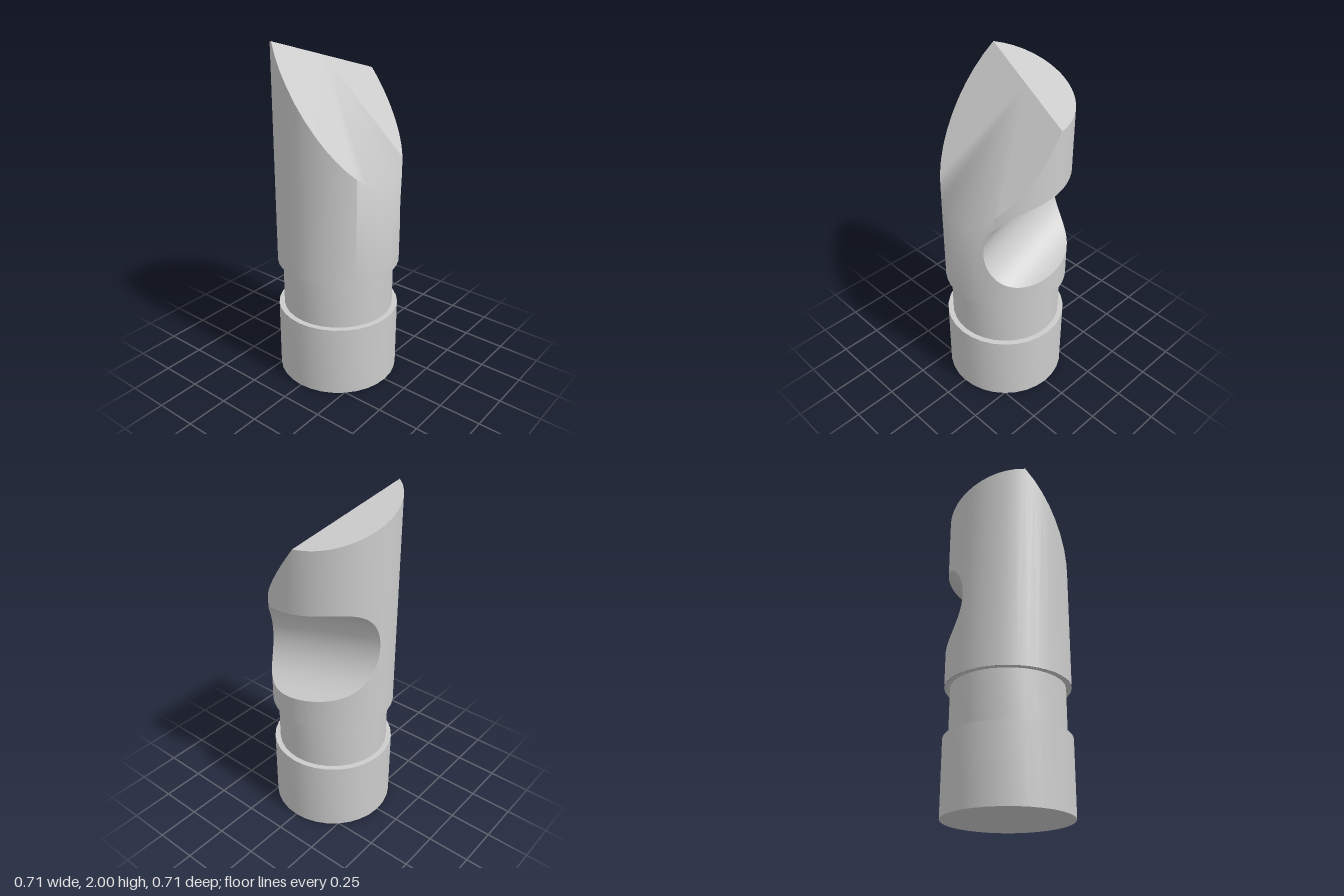
import * as THREE from 'three';
import { toCreasedNormals } from 'three/addons/utils/BufferGeometryUtils.js';

const R = 0.357, BASE = 0.725;              // barrel radius, underside of the head
const CREASE = 0.86;
// Side groove: slanted round channel, section centred on (GX, GY) at z = 0
const GX = 0.365, GY = 1.148, GR = 0.265, SX = 0.182, SY = -0.155;
const DELTA = Math.atan(SX);
const OMEGA = Math.acos((GX - GR) / (R * Math.hypot(1, SX)));

// Height of the two slanted top planes above a point
const topY = (x, z) => Math.min(1.9 - 0.336 * x, 1.73 - 1.35 * z);
const at = (t, y) => new THREE.Vector3(R * Math.cos(t), y, R * Math.sin(t));
const rimTop = (t) => at(t, topY(R * Math.cos(t), R * Math.sin(t)));

// Point of the groove rim at angle t; side is +1 (upper) or -1 (lower)
function rimGroove(t, side) {
  const x = R * Math.cos(t), z = R * Math.sin(t);
  const d = x - SX * z - GX;
  return at(t, GY + SY * z + side * Math.sqrt(Math.max(0, GR * GR - d * d)));
}

function createHead() {
  const pos = [];
  const tri = (a, b, c) => {
    const n = b.clone().sub(a).cross(c.clone().sub(a));
    if (n.length() > 1e-10) pos.push(...a, ...b, ...c);
  };
  const quad = (a, b, c, d) => { tri(a, b, c); tri(a, c, d); };

  // Angles where the ridge between the two top planes meets the barrel
  const m = 1.35, s = 0.336, k = -0.17 / m, q = s / m;
  const disc = Math.sqrt(k * k * q * q - (1 + q * q) * (k * k - R * R));
  const [ridgeA, ridgeB] = [1, -1].map((sg) => {
    const x = (-k * q + sg * disc) / (1 + q * q);
    return Math.atan2(k + q * x, x);
  });

  // Angular samples: half-widths across the groove, then round the rest
  const half = [Math.abs(ridgeA + DELTA)];
  for (let i = 0; i <= 24; i++) half.push(OMEGA * Math.sin((i / 24) * Math.PI / 2));
  half.sort((a, b) => a - b);
  const grooved = [...half.slice(1).reverse().map((w) => -DELTA - w), ...half.map((w) => -DELTA + w)];
  const start = OMEGA - DELTA, span = 2 * Math.PI - 2 * OMEGA;
  const plain = [ridgeB + 2 * Math.PI];
  for (let i = 0; i <= 24; i++) plain.push(start + span * i / 24);
  plain.sort((a, b) => a - b);

  const ridgeMid = rimTop(ridgeA).add(rimTop(ridgeB)).multiplyScalar(0.5);
  const wall = (list, low, high) => {
    for (let i = 0; i + 1 < list.length; i++) {
      const a = list[i], b = list[i + 1];
      quad(low(b), low(a), high(a), high(b));
    }
  };
  // Barrel wall below, above and beside the groove
  wall(grooved, (t) => at(t, BASE), (t) => rimGroove(t, -1));
  wall(grooved, (t) => rimGroove(t, 1), rimTop);
  wall(plain, (t) => at(t, BASE), rimTop);
  // Slanted top faces, fanned from the ridge
  for (const list of [grooved, plain])
    for (let i = 0; i + 1 < list.length; i++) tri(ridgeMid, rimTop(list[i + 1]), rimTop(list[i]));
  // Groove floor, straight lines from front rim to back rim
  const rows = [
    ...half.map((w) => [w, -1]),
    ...half.slice(0, -1).reverse().map((w) => [w, 1]),
  ].map(([w, sd]) => [rimGroove(-DELTA + w, sd), rimGroove(-DELTA - w, sd)]);
  for (let i = 0; i + 1 < rows.length; i++)
    quad(rows[i][0], rows[i][1], rows[i + 1][1], rows[i + 1][0]);

  const g = new THREE.BufferGeometry();
  g.setAttribute('position', new THREE.Float32BufferAttribute(pos, 3));
  return toCreasedNormals(g, CREASE);
}

export function createModel() {
  const group = new THREE.Group();
  group.name = 'slantedPin';
  const material = new THREE.MeshStandardMaterial({ color: 0xcccccc });
  const add = (name, geometry) => {
    const mesh = new THREE.Mesh(geometry, material);
    mesh.name = name;
    group.add(mesh);
  };
  // Base collar, narrow neck and the step up to the head
  const profile = [[0, 0], [R, 0], [R, 0.432], [0.325, 0.432], [0.325, BASE], [R, BASE]];
  const lathe = new THREE.LatheGeometry(profile.map(([x, y]) => new THREE.Vector2(x, y)), 32);
  add('baseAndNeck', toCreasedNormals(lathe, CREASE));
  add('slantedHead', createHead());
  return group;
}
